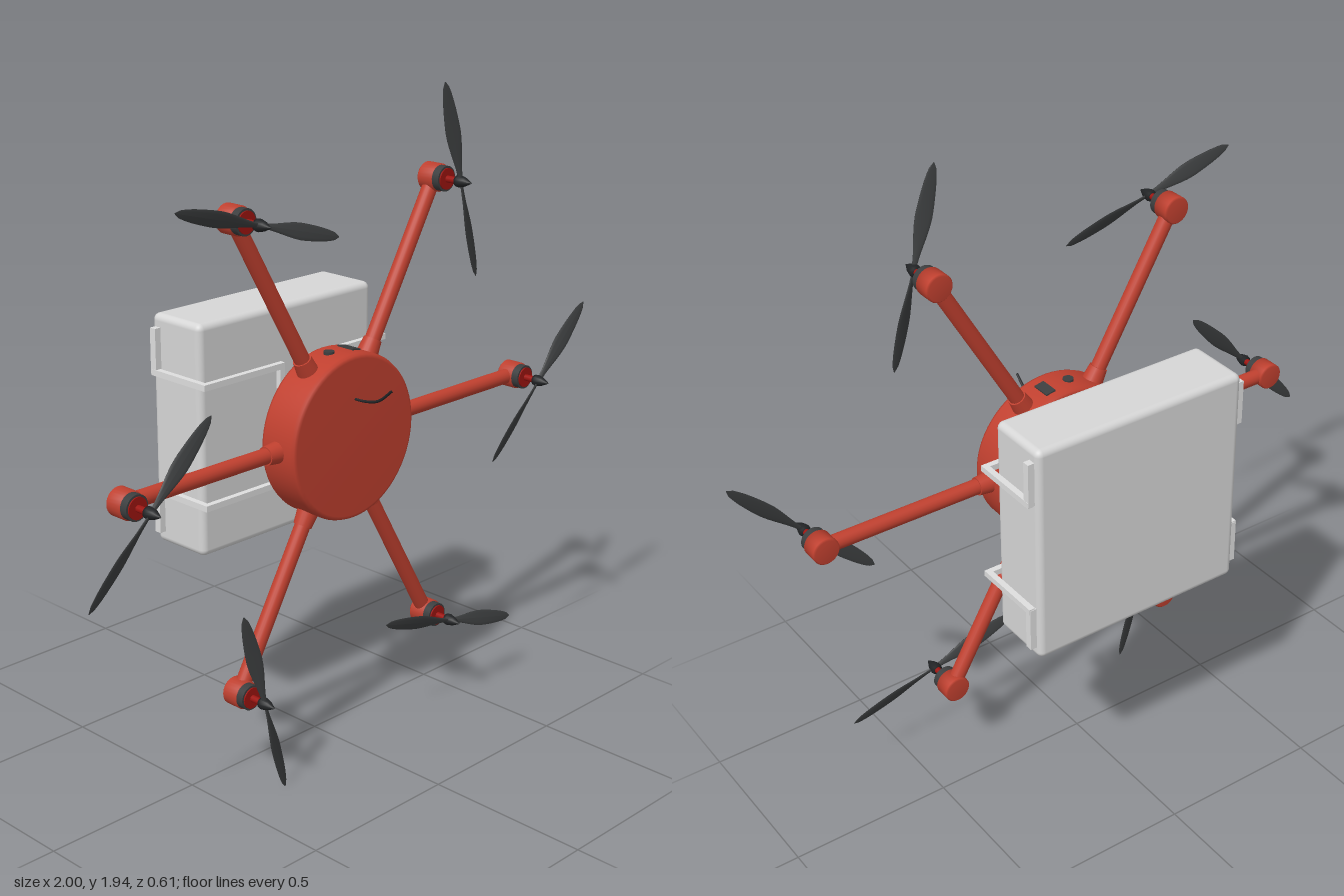
import * as THREE from 'three';
import { RoundedBoxGeometry } from 'three/addons/geometries/RoundedBoxGeometry.js';

const mat = (name, color) => {
  const m = new THREE.MeshStandardMaterial({ color });
  m.name = name;
  return m;
};
const red = mat('red shell', 0xc0402f);
const darkRed = mat('dark red motor', 0x9c1410);
const dark = mat('charcoal', 0x3c3e3f);
const black = mat('black', 0x222426);
const grey = mat('parcel grey', 0xd6d6d6);
const silver = mat('gripper silver', 0xdedede);

const CY = 0.972, ARM = 0.787, MID = 0.092;

function add(parent, name, geometry, material, x = 0, y = 0, z = 0) {
  const m = new THREE.Mesh(geometry, material);
  m.name = name;
  m.position.set(x, y, z);
  parent.add(m);
  return m;
}

// Solid of revolution around z; each point is [radius, z]
function turned(points, sides = 32) {
  const g = new THREE.LatheGeometry(points.map(p => new THREE.Vector2(p[0], p[1])), sides);
  return g.rotateX(Math.PI / 2);
}
const drum = (r, z0, z1, sides = 28) =>
  new THREE.CylinderGeometry(r, r, z1 - z0, sides).rotateX(Math.PI / 2).translate(0, 0, (z0 + z1) / 2);

// Leaf-shaped, twisted blade along +x
function bladeGeometry(length) {
  const g = new THREE.CylinderGeometry(1, 1, 1, 10, 18);
  const p = g.attributes.position;
  for (let i = 0; i < p.count; i++) {
    const t = p.getY(i) + 0.5;
    const taper = Math.sqrt(1.002 - t ** 3);
    const w = 0.027 * (0.25 + 0.75 * THREE.MathUtils.smoothstep(t, 0, 0.55)) * taper;
    const x = p.getX(i) * w, z = p.getZ(i) * 0.0035 * taper;
    const a = 0.5 - 0.3 * t;
    p.setXYZ(i, x * Math.cos(a) - z * Math.sin(a), t * length, x * Math.sin(a) + z * Math.cos(a));
  }
  g.rotateZ(-Math.PI / 2);
  g.computeVertexNormals();
  return g;
}

function createArm(blade) {
  const arm = new THREE.Group();
  arm.name = 'arm';
  const tube = (r0, r1, x0, x1) =>
    new THREE.CylinderGeometry(r1, r0, x1 - x0, 20).rotateZ(-Math.PI / 2).translate((x0 + x1) / 2, 0, MID);
  add(arm, 'armTube', tube(0.023, 0.023, 0.2, ARM), red);
  add(arm, 'armCollar', tube(0.034, 0.027, 0.22, 0.285), red);

  // Motor, shaft and propeller at the tip
  const motor = new THREE.Group();
  motor.name = 'motor';
  motor.position.x = ARM;
  arm.add(motor);
  add(motor, 'motorHousing', turned([[0, 0.062], [0.036, 0.062], [0.041, 0.067], [0.041, 0.117], [0, 0.117]], 28), red);
  add(motor, 'motorRing', drum(0.037, 0.117, 0.141), dark);
  add(motor, 'motorCap', drum(0.031, 0.141, 0.145), darkRed);
  add(motor, 'motorShaft', drum(0.01, 0.145, 0.185, 14), darkRed);
  add(motor, 'spinner', turned([[0, 0.178], [0.016, 0.18], [0.018, 0.19], [0.013, 0.21], [0, 0.236]], 16), black);

  const propeller = new THREE.Group();
  propeller.name = 'propeller';
  propeller.position.z = 0.195;
  propeller.rotation.z = Math.PI / 4;
  motor.add(propeller);
  for (const turn of [0, Math.PI]) add(propeller, 'blade', blade, dark).rotation.z = turn;
  return arm;
}

function createGripper(sx, sy) {
  const grip = new THREE.Group();
  grip.name = 'gripper';
  // Square rod bent from the body around the side of the parcel
  const path = [[0.065, 0.118, 0.04], [0.065, 0.118, -0.072], [0.065, 0.178, -0.072],
    [0.357, 0.178, -0.072], [0.357, 0.178, -0.278]];
  const T = 0.018;
  for (let i = 1; i < path.length; i++) {
    const a = path[i - 1], b = path[i];
    const size = a.map((v, k) => Math.abs(v - b[k]) + T);
    add(grip, 'gripperRod', new THREE.BoxGeometry(...size), silver,
      sx * (a[0] + b[0]) / 2, sy * (a[1] + b[1]) / 2, (a[2] + b[2]) / 2);
  }
  add(grip, 'gripperPad', new THREE.BoxGeometry(0.02, 0.135, 0.022), silver, sx * 0.355, sy * 0.24, -0.278);
  return grip;
}

export function createModel() {
  const drone = new THREE.Group();
  drone.name = 'drone';
  const frame = new THREE.Group();
  frame.name = 'frame';
  frame.position.y = CY;
  drone.add(frame);

  // Round body with softened rims
  const R = 0.245;
  add(frame, 'body', turned([[0, 0.03], [R - 0.014, 0.03], [R - 0.004, 0.034], [R, 0.044],
    [R, 0.148], [R - 0.004, 0.158], [R - 0.014, 0.162], [0, 0.162]], 64), red);

  // Six arms
  const blade = bladeGeometry(0.3);
  for (let i = 0; i < 6; i++) {
    const arm = createArm(blade);
    arm.rotation.z = i * Math.PI / 3;
    frame.add(arm);
  }

  // Button and socket on the upper rim
  add(frame, 'button', new THREE.CylinderGeometry(0.016, 0.016, 0.009, 20), dark, -0.034, R - 0.001, 0.09);
  add(frame, 'socket', new THREE.BoxGeometry(0.032, 0.009, 0.06), dark, 0.046, R - 0.005, 0.09).rotation.z = -0.19;

  // Curved aerial
  const curve = new THREE.CatmullRomCurve3([[0.115, 0.155], [0.117, 0.2], [0.13, 0.25], [0.172, 0.302]]
    .map(([y, z]) => new THREE.Vector3(0, y, z)));
  add(frame, 'aerial', new THREE.TubeGeometry(curve, 20, 0.004, 8), black);

  // Parcel and its four grippers
  add(frame, 'parcel', new RoundedBoxGeometry(0.69, 0.69, 0.2, 4, 0.02), grey, 0, 0, -0.205);
  for (const sx of [1, -1]) for (const sy of [1, -1]) frame.add(createGripper(sx, sy));

  return drone;
}
